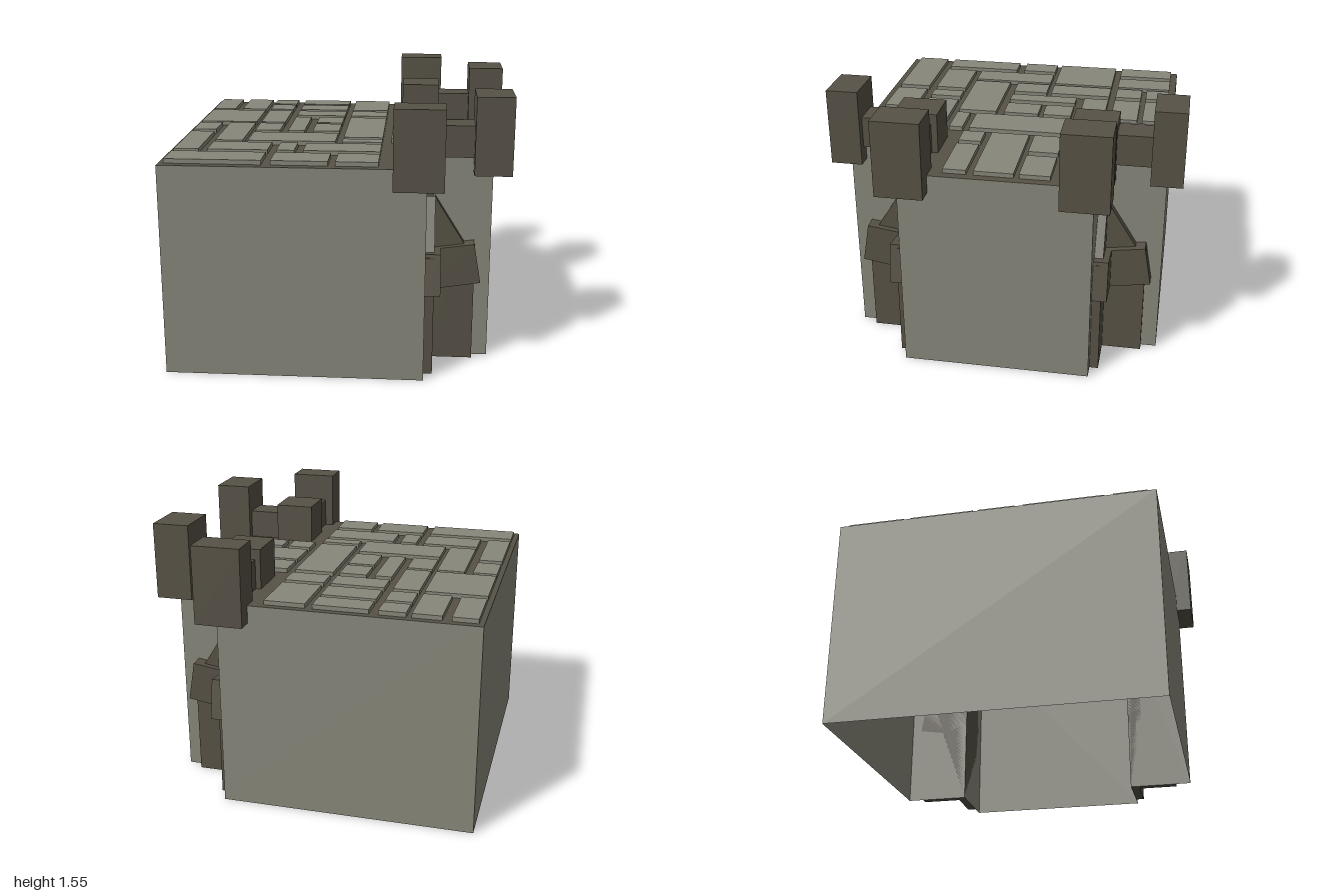
import * as THREE from 'three';

const stone = new THREE.MeshStandardMaterial({ color: 0x88877a, side: THREE.DoubleSide });
stone.name = 'grey stone';
const trim = new THREE.MeshStandardMaterial({ color: 0x575246 });
trim.name = 'dark brown trim';

const H = 1.21;
const CX = 0.49, CZ = 0.54; // inner corner of the two notches

// Floor plan: a block with two notched corners on the +x side (symmetric in z)
const PLAN = [
  [-0.96, -0.91], [CX, -0.91], [CX, -CZ], [0.86, -CZ],
  [0.86, CZ], [CX, CZ], [CX, 0.91], [-0.96, 0.91],
];

// Paving slabs: x0, x1, z0, z1
const SLABS = [
  [-.93, -.79, -.87, -.54], [-.74, -.58, -.87, -.54], [-.93, -.58, -.50, -.13],
  [-.93, -.79, -.10, .11], [-.93, -.79, .16, .62], [-.93, -.40, .67, .86],
  [-.55, -.40, -.87, -.73], [-.55, -.40, -.70, -.54], [-.55, -.40, -.50, -.13],
  [-.55, -.40, -.10, .11], [-.74, -.58, -.10, .39], [-.55, -.04, .16, .39],
  [-.74, -.40, .43, .62], [-.35, -.25, .43, .62], [-.20, .23, .43, .62],
  [-.35, -.04, .67, .86], [0, .23, .67, .86],
  [-.35, -.04, -.87, -.73], [-.35, -.04, -.70, -.54], [-.35, -.04, -.50, -.35],
  [0, .23, -.87, -.54], [0, .23, -.50, -.35], [0, .23, -.30, .27], [0, .23, .31, .39],
  [-.35, -.25, -.30, .11], [-.20, -.04, -.30, -.13], [-.20, -.04, -.10, .11],
  [.28, .51, -.30, -.13], [.56, .81, -.30, -.13], [.28, .81, -.10, .12],
  [.28, .42, .16, .29], [.46, .81, .16, .29],
];

const shapeOf = (pts) => new THREE.Shape(pts.map(([x, y]) => new THREE.Vector2(x, y)));

function add(parent, name, geometry, material) {
  const mesh = new THREE.Mesh(geometry, material);
  mesh.name = name;
  parent.add(mesh);
  return mesh;
}

// Box given by its limits
function box(parent, name, material, x0, x1, y0, y1, z0, z1) {
  const g = new THREE.BoxGeometry(x1 - x0, y1 - y0, Math.abs(z1 - z0));
  g.translate((x0 + x1) / 2, (y0 + y1) / 2, (z0 + z1) / 2);
  return add(parent, name, g, material);
}

// Flat floor-plan sheet at a given height
function sheet(parent, name, material, y) {
  const g = new THREE.ShapeGeometry(shapeOf(PLAN));
  g.rotateX(-Math.PI / 2).translate(0, y, 0);
  return add(parent, name, g, material);
}

// Two matching plates folded into the notch corner; s picks the front or back notch
function foldedPlates(parent, name, points, depth, s) {
  const make = () => new THREE.ExtrudeGeometry(shapeOf(points), { depth, bevelEnabled: false });
  const a = make();
  a.translate(CX, 0, s > 0 ? CZ : -CZ - depth);
  add(parent, name, a, trim);
  const b = make();
  if (s > 0) b.translate(0, 0, -depth);
  b.rotateY(-s * Math.PI / 2).translate(CX, 0, s * CZ);
  add(parent, name, b, trim);
}

export function createModel() {
  const model = new THREE.Group();
  model.name = 'towerBlock';

  // Open-bottomed walls
  const walls = new THREE.Group();
  walls.name = 'walls';
  model.add(walls);
  PLAN.forEach(([x0, z0], i) => {
    const [x1, z1] = PLAN[(i + 1) % PLAN.length];
    const g = new THREE.PlaneGeometry(Math.hypot(x1 - x0, z1 - z0), H);
    g.rotateY(Math.atan2(z0 - z1, x0 - x1) * -1 + 0);
    g.translate((x0 + x1) / 2, H / 2, (z0 + z1) / 2);
    add(walls, 'wall', g, stone);
  });
  sheet(model, 'ceiling', stone, 1.02);
  sheet(model, 'roof', trim, H);

  // Raised paving on the roof
  const paving = new THREE.Group();
  paving.name = 'paving';
  model.add(paving);
  for (const [x0, x1, z0, z1] of SLABS) box(paving, 'slab', stone, x0, x1, H - 0.01, H + 0.025, z0, z1);

  // Battlements and corner buttress at each notch
  for (const s of [1, -1]) {
    const corner = new THREE.Group();
    corner.name = s > 0 ? 'frontCorner' : 'backCorner';
    model.add(corner);
    box(corner, 'outerMerlon', trim, 0.31, 0.58, 1.11, 1.55, s * 0.82, s * 1.0);
    box(corner, 'sideMerlon', trim, 0.75, 0.96, 1.11, 1.55, s * 0.365, s * 0.635);
    box(corner, 'cornerMerlon', trim, 0.33, 0.56, 1.09, 1.44, s * 0.375, s * 0.625);
    box(corner, 'parapet', trim, 0.36, 0.53, 1.2, 1.38, s * 0.6, s * 0.83);
    box(corner, 'parapet', trim, 0.55, 0.76, 1.2, 1.38, s * 0.41, s * 0.58);
    foldedPlates(corner, 'buttress',
      [[0, 0], [0.28, 0], [0.28, 0.69], [0.22, 0.70], [0.02, 1.02], [0, 1.02]], 0.05, s);
    foldedPlates(corner, 'buttressShoulder',
      [[0, 0.43], [0.315, 0.48], [0.275, 0.71], [0, 0.67]], 0.085, s);
  }
  return model;
}
